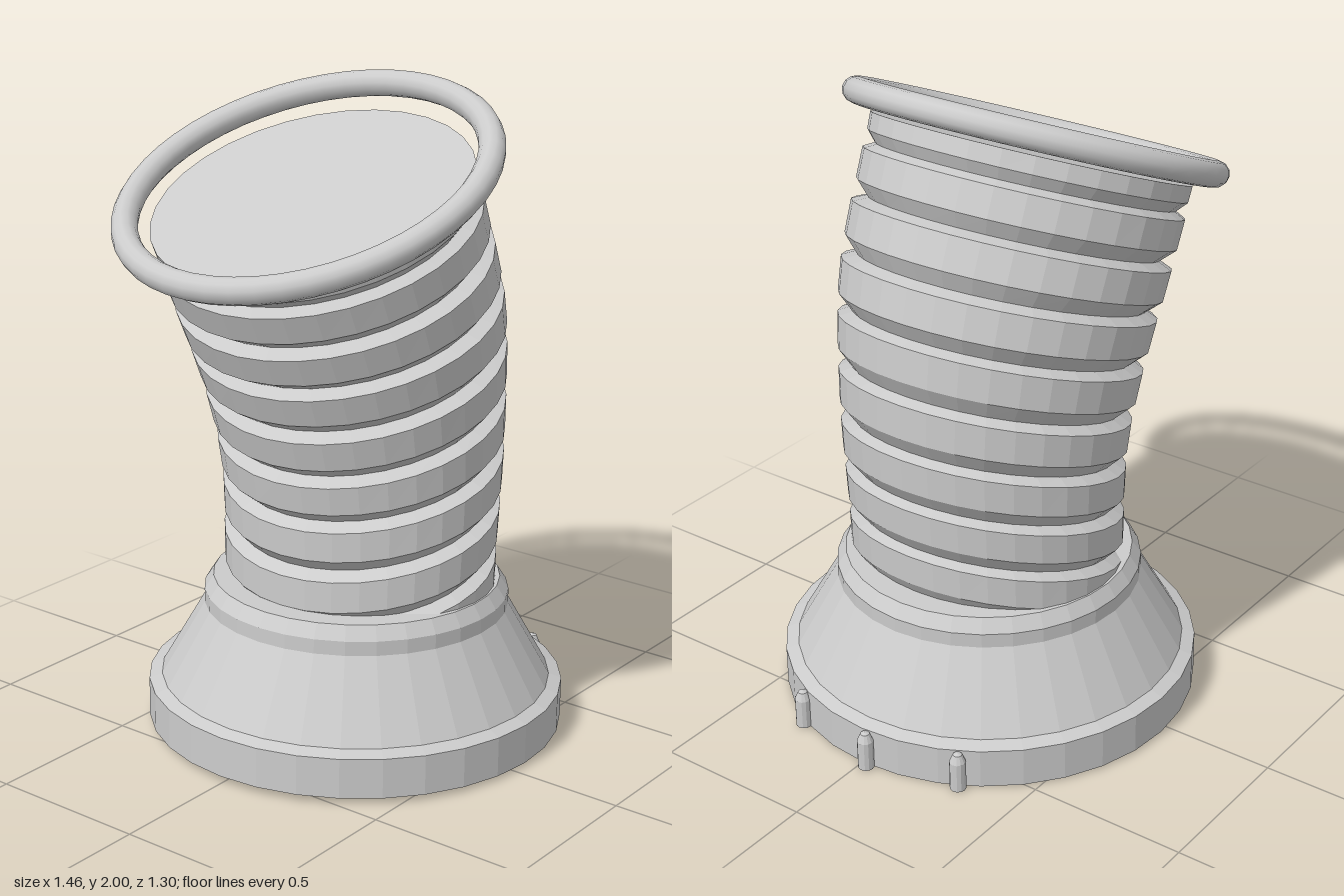
import * as THREE from 'three';

const SIDES = 32;

// Bands of the hose, bottom to top: left x, left y, right x, right y, half depth in z
const BANDS = [
  [-0.32, 0.21, 0.45, 0.40, 0.44],
  [-0.32, 0.37, 0.455, 0.56, 0.44],
  [-0.32, 0.53, 0.465, 0.72, 0.445],
  [-0.315, 0.69, 0.48, 0.89, 0.45],
  [-0.33, 0.835, 0.485, 1.065, 0.455],
  [-0.365, 0.98, 0.475, 1.25, 0.47],
  [-0.42, 1.13, 0.455, 1.42, 0.485],
  [-0.48, 1.26, 0.395, 1.595, 0.495],
  [-0.545, 1.40, 0.33, 1.745, 0.495],
  [-0.605, 1.53, 0.28, 1.89, 0.5],
];

// Tilted elliptical loop at a fractional band number, shrunk by scale
function loopAt(t, scale) {
  const i = Math.min(Math.floor(t), BANDS.length - 2);
  const [lx, ly, rx, ry, depth] = BANDS[i].map((v, k) => THREE.MathUtils.lerp(v, BANDS[i + 1][k], t - i));
  const points = [];
  for (let s = 0; s < SIDES; s++) {
    const a = (s / SIDES) * Math.PI * 2;
    const c = Math.cos(a) * 0.5 * scale;
    points.push([
      (lx + rx) / 2 + (rx - lx) * c,
      (ly + ry) / 2 + (ry - ly) * c,
      Math.sin(a) * depth * scale,
    ]);
  }
  return points;
}

// Skin a stack of loops, closing both ends with fans
function loft(loops) {
  const position = [];
  const index = [];
  loops.forEach((loop) => loop.forEach((p) => position.push(...p)));
  for (let r = 0; r < loops.length - 1; r++) {
    for (let s = 0; s < SIDES; s++) {
      const a = r * SIDES + s;
      const b = r * SIDES + ((s + 1) % SIDES);
      index.push(a, a + SIDES, b, b, a + SIDES, b + SIDES);
    }
  }
  const last = (loops.length - 1) * SIDES;
  for (let s = 1; s < SIDES - 1; s++) {
    index.push(0, s, s + 1);
    index.push(last, last + s + 1, last + s);
  }
  const geometry = new THREE.BufferGeometry();
  geometry.setAttribute('position', new THREE.Float32BufferAttribute(position, 3));
  geometry.setIndex(index);
  geometry.computeVertexNormals();
  return geometry;
}

export function createModel() {
  const group = new THREE.Group();
  const flat = new THREE.MeshStandardMaterial({ color: 0xcccccc, flatShading: true });
  const smooth = new THREE.MeshStandardMaterial({ color: 0xcccccc });
  const add = (name, geometry, material, parent = group) => {
    const mesh = new THREE.Mesh(geometry, material);
    mesh.name = name;
    parent.add(mesh);
    return mesh;
  };

  // Flared base, leaning very slightly
  const base = new THREE.Group();
  base.name = 'base';
  base.position.set(0.045, 0.014, 0);
  base.rotation.z = -0.018;
  group.add(base);
  const profile = [
    [0, 0], [0.65, 0], [0.65, 0.125], [0.61, 0.14], [0.475, 0.375],
    [0.475, 0.42], [0.447, 0.462], [0, 0.462],
  ].map(([x, y]) => new THREE.Vector2(x, y));
  add('flaredBase', new THREE.LatheGeometry(profile, SIDES), flat, base);

  // Pointed pegs on the rim
  const pegProfile = [[0, 0], [0.025, 0], [0.025, 0.095], [0.014, 0.12], [0, 0.125]]
    .map(([x, y]) => new THREE.Vector2(x, y));
  const pegGeometry = new THREE.LatheGeometry(pegProfile, 12);
  for (const degrees of [-28, -2, 24]) {
    const a = THREE.MathUtils.degToRad(degrees);
    add('peg', pegGeometry, flat, base).position.set(Math.cos(a) * 0.662, 0.002, Math.sin(a) * 0.662);
  }

  // Bent hose: raised bands with a sharp groove above each
  const loops = [loopAt(0, 0.9)];
  for (let k = 1; k < BANDS.length - 1; k++) {
    loops.push(loopAt(k - 0.58, 0.91), loopAt(k - 0.3, 1), loopAt(k + 0.3, 1));
  }
  const top = BANDS.length - 1;
  loops.push(loopAt(top - 0.58, 0.93), loopAt(top - 0.35, 0.99), loopAt(top, 0.99));
  add('corrugatedHose', loft(loops), flat);

  // Loose hoop around the mouth
  const hoop = add('topHoop', new THREE.TorusGeometry(0.545, 0.04, 12, 48).rotateX(Math.PI / 2), smooth);
  hoop.position.set(-0.185, 1.755, 0);
  hoop.rotation.z = 0.394;

  return group;
}
